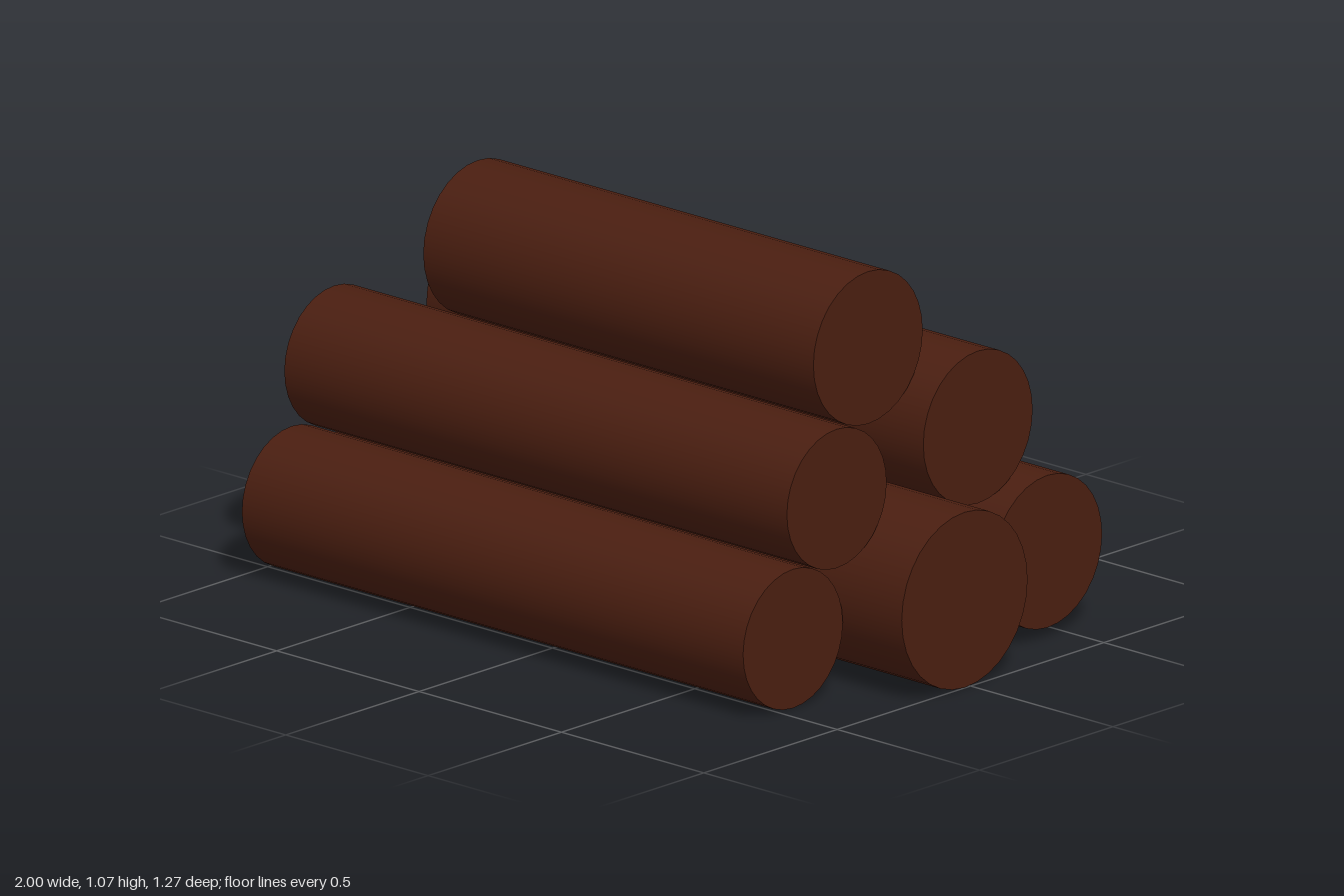
import * as THREE from 'three';

// Each log: name, centre z, centre y, radius, left end x, right end x
const LOGS = [
  ['bottomFrontLog', 0.447, 0.19, 0.187, -0.965, 0.795],
  ['bottomMiddleLog', 0.022, 0.24, 0.236, -1, 1],
  ['bottomBackLog', -0.427, 0.237, 0.205, -0.875, 0.87],
  ['middleFrontLog', 0.32, 0.545, 0.187, -0.935, 0.83],
  ['middleBackLog', -0.236, 0.602, 0.205, -0.94, 0.805],
  ['topLog', 0.08, 0.87, 0.205, -0.655, 0.715],
];

export function createModel() {
  const group = new THREE.Group();
  group.name = 'logPile';
  const bark = new THREE.MeshStandardMaterial({ color: 0x4a1e10 });

  // Stacked logs lying along x
  for (const [name, z, y, radius, x0, x1] of LOGS) {
    const geometry = new THREE.CylinderGeometry(radius, radius, x1 - x0, 32);
    geometry.rotateZ(Math.PI / 2);
    const log = new THREE.Mesh(geometry, bark);
    log.name = name;
    log.position.set((x0 + x1) / 2, y, z);
    group.add(log);
  }
  return group;
}
